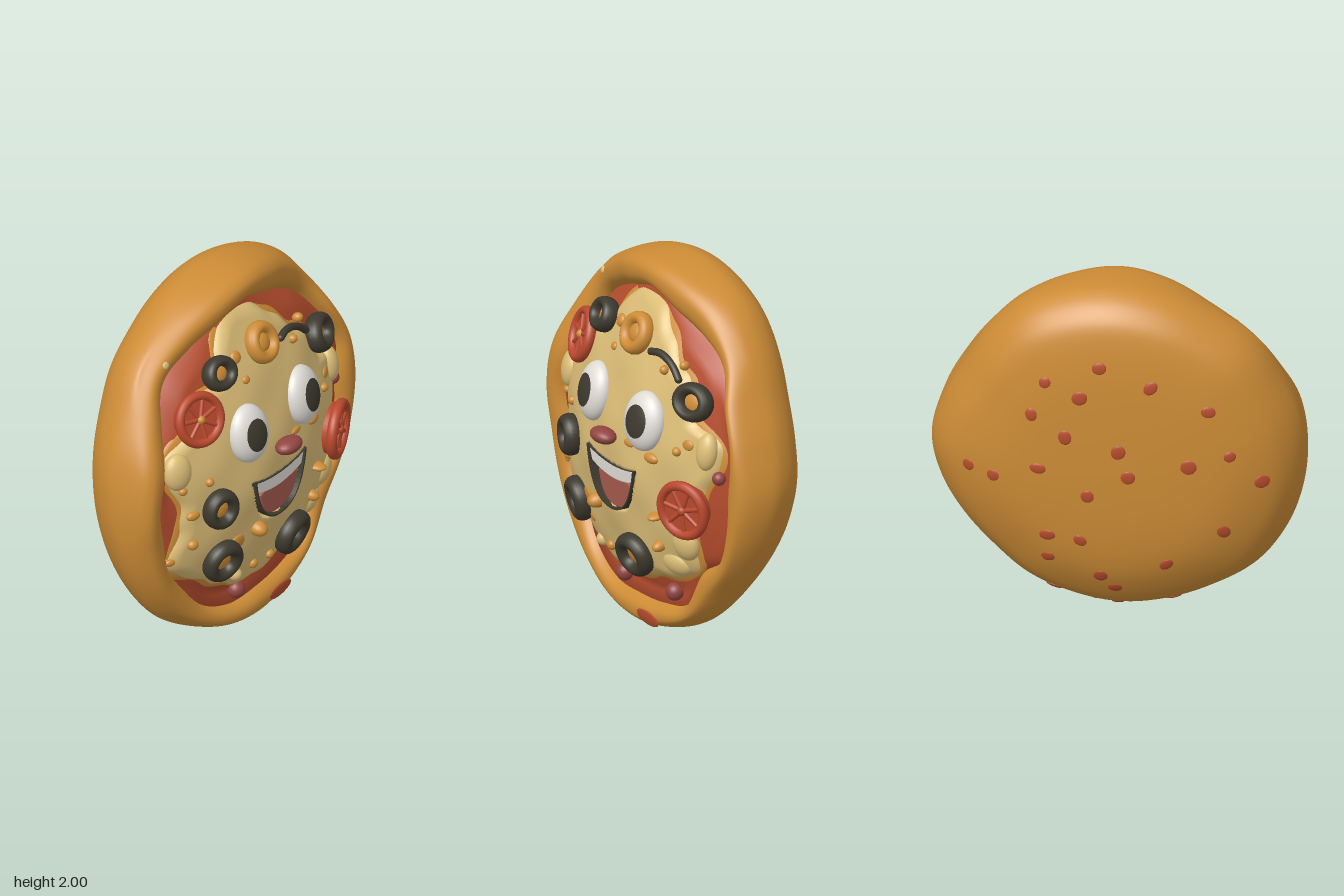
import * as THREE from 'three';

const mat = (name, color) => Object.assign(new THREE.MeshStandardMaterial({ color }), { name });
const M = {
  crust: mat('crust', 0xcd8c36), cheese: mat('cheese', 0xdcbd77), sauce: mat('sauce', 0xb44c2d),
  tomato: mat('tomato', 0xb9482d), olive: mat('olive', 0x3d392e), white: mat('white', 0xdfdbd5),
  tongue: mat('tongue', 0xa4584c), maroon: mat('maroon', 0x914540),
};

// Values every 15 degrees, counter-clockwise from +x, joined by a closed smooth curve
function around(values) {
  const n = values.length;
  return (a) => {
    const t = (((a / (2 * Math.PI)) % 1) + 1) % 1 * n, i = Math.floor(t), f = t - i;
    const [p, q, r, s] = [-1, 0, 1, 2].map((k) => values[(i + k + n) % n]);
    return q + 0.5 * f * (r - p + f * (2 * p - 5 * q + 4 * r - s + f * (3 * (q - r) + s - p)));
  };
}
const outer = around([.965, .935, .92, .955, .995, 1, 1, .99, .98, .99, .965, .965,
  .965, .97, .985, 1, .99, .995, 1, .985, .97, .94, .94, .955]);
const inner = around([.78, .83, .82, .82, .79, .79, .83, .8, .8, .82, .77, .76,
  .79, .775, .81, .82, .86, .86, .83, .84, .86, .76, .82, .8]);
const cheeseEdge = around([.67, .75, .62, .66, .66, .73, .81, .79, .64, .68, .68, .77,
  .68, .69, .82, .76, .74, .75, .73, .69, .72, .76, .66, .64]);
const rimZ = around([.14, .13, .1, .03, .04, .08, .1, .08, .03, .005, .07, .14,
  .15, .14, .14, .15, .17, .19, .2, .19, .17, .15, .14, .14]);

// Domed topping surface, y measured from the pizza centre
const dome = (x, y) => 0.06 + 0.23 * (1 - (x * x + y * y) / 0.72) - 0.06 * y;

// Surface of radial profiles [r, z], outside to centre on the front
function loft(n, profile) {
  const pos = [], idx = [];
  let m = 0;
  for (let i = 0; i < n; i++) {
    const a = (i / n) * Math.PI * 2, pts = profile(a);
    m = pts.length;
    for (const [r, z] of pts) pos.push(r * Math.cos(a), 1 + r * Math.sin(a), z);
    const k = (i + 1) % n;
    for (let j = 0; j < m - 1; j++) {
      const p = i * m + j, q = k * m + j;
      idx.push(p, q, q + 1, p, q + 1, p + 1);
    }
  }
  const g = new THREE.BufferGeometry();
  g.setAttribute('position', new THREE.Float32BufferAttribute(pos, 3));
  g.setIndex(idx);
  g.computeVertexNormals();
  return g;
}

// Crust section from back centre, round the side, over the rim to the sauce
function crustProfile(a, steps = 60) {
  const R = outer(a), I = inner(a), w = R - I, z = rimZ(a), s = Math.sin(a);
  const back = [[0, -.42, 0], [.35, -.408, -.01], [.62, -.375, -.03], [.83, -.3, -.07],
    [.93, -.215, -.09], [.985, -.12, -.1], [1, -.04, -.09]];
  const pts = back.map(([f, z0, dz]) => new THREE.Vector2(f * R, z0 + dz * s));
  pts.push(new THREE.Vector2(R - .08 * w, z - .07), new THREE.Vector2(R - .28 * w, z - .012),
    new THREE.Vector2(R - .55 * w, z), new THREE.Vector2(I + .2 * w, z - .015),
    new THREE.Vector2(I, z - .06), new THREE.Vector2(I - .03, z - .16));
  return new THREE.SplineCurve(pts).getPoints(steps).map((p) => [p.x, p.y]);
}

function sauceProfile(a) {
  const I = inner(a), z = rimZ(a), pts = [[I + .03, z - .1], [I, z - .05]];
  for (let r = I - .05, j = 0; j < 8; j++, r -= .045) pts.push([r, dome(r * Math.cos(a), r * Math.sin(a)) - .02]);
  return pts;
}

// Cheese layer with a rounded lip, gentle lumps and a hollow for the mouth
function cheeseProfile(a) {
  const R = cheeseEdge(a) + .008 * Math.sin(23 * a), pts = [];
  for (let j = 0; j <= 70; j++) {
    const r = R * (1 - Math.pow(j / 70, 1.3)), x = r * Math.cos(a), y = r * Math.sin(a);
    const t = Math.min(1, (R - r) / .07), mx = x + .015;
    const f = Math.min(-.08 + .6 * mx * mx - y, y + .325 - 100 * mx ** 4);
    const lumps = .006 * Math.sin(13 * x + 2) * Math.sin(15 * y) * t;
    pts.push([r, dome(x, y) - .035 + .06 * Math.sqrt(1 - (1 - t) ** 2) + lumps
      - .1 * THREE.MathUtils.smoothstep(f, 0, .025)]);
  }
  return pts;
}

export function createModel() {
  const root = new THREE.Group();
  const add = (name, geo, material, parent = root) => {
    const m = new THREE.Mesh(geo, material);
    m.name = name;
    parent.add(m);
    return m;
  };
  const Z = new THREE.Vector3(0, 0, 1);
  // Stand an object on the cheese, facing along the surface normal
  const place = (o, x, y, lift = 0) => {
    o.position.set(x, y, dome(x, y - 1) + .025 + lift);
    o.quaternion.setFromUnitVectors(Z, new THREE.Vector3(.64 * x, .64 * (y - 1) + .06, 1).normalize());
    return o;
  };
  const group = (name) => {
    const g = new THREE.Group();
    g.name = name;
    root.add(g);
    return g;
  };
  const ball = new THREE.SphereGeometry(1, 24, 16);
  const blob = (name, material, x, y, sx, sy, sz, lift = 0) =>
    place(add(name, ball, material), x, y, lift).scale.set(sx, sy, sz);

  // Base layers
  add('crust', loft(180, crustProfile), M.crust);
  add('sauce', loft(180, sauceProfile), M.sauce);
  add('cheese', loft(180, cheeseProfile), M.cheese);
  add('brownedCheeseEdge', loft(180, (a) => {
    const R = cheeseEdge(a) + .018 + .01 * Math.sin(17 * a);
    return [[R, -.03], [R - .008, -.01], [R - .06, -.01]].map(([r, d]) =>
      [r, dome(r * Math.cos(a), r * Math.sin(a)) + d]);
  }), M.crust);

  // Eyes with pupils as caps on the eyeballs
  const cap = new THREE.SphereGeometry(1.012, 32, 10, 0, Math.PI * 2, 0, .59).rotateX(Math.PI / 2);
  for (const [x, w] of [[-.235, .128], [.24, .135]]) {
    const eye = place(group('eye'), x, 1.232);
    eye.scale.set(w, .158, .08);
    add('eyeball', new THREE.SphereGeometry(1, 36, 24), M.white, eye);
    add('pupil', cap, M.olive, eye);
  }
  blob('nose', M.maroon, -.01, 1.085, .085, .042, .062, .055);

  // Open mouth: lip frame, dark inside, teeth and tongue
  const mouth = (k, S = THREE.Shape) => {
    const X = (x) => -.015 + k * x, Y = (y) => .83 + k * (y - .83), s = new S();
    s.moveTo(X(-.225), Y(.95));
    s.bezierCurveTo(X(-.19), Y(.72), X(-.1), Y(.67), X(0), Y(.67));
    s.bezierCurveTo(X(.1), Y(.67), X(.19), Y(.72), X(.225), Y(.95));
    s.quadraticCurveTo(X(0), Y(.89), X(-.225), Y(.95));
    return s;
  };
  const slab = (name, shape, material, z, depth, bevel = 0) => {
    add(name, new THREE.ExtrudeGeometry(shape, { depth, curveSegments: 16, bevelEnabled: bevel > 0,
      bevelSize: bevel, bevelThickness: bevel, bevelSegments: 3 }), material).position.z = z;
  };
  const lip = mouth(1);
  lip.holes.push(mouth(.95, THREE.Path));
  slab('lip', lip, M.olive, .21, .11);
  slab('mouthInside', mouth(.97), M.olive, .255, .008);
  const teeth = new THREE.Shape();
  teeth.moveTo(-.22, .935);
  teeth.lineTo(-.195, .875);
  teeth.quadraticCurveTo(-.015, .815, .17, .875);
  teeth.lineTo(.19, .935);
  teeth.quadraticCurveTo(-.015, .89, -.22, .935);
  slab('teeth', teeth, M.white, .265, .042, .006);
  const tongue = new THREE.Shape();
  tongue.moveTo(-.155, .825);
  tongue.bezierCurveTo(-.13, .72, -.08, .688, -.015, .688);
  tongue.bezierCurveTo(.07, .688, .13, .72, .16, .825);
  tongue.quadraticCurveTo(.07, .86, -.01, .83);
  tongue.quadraticCurveTo(-.09, .86, -.155, .825);
  slab('tongue', tongue, M.tongue, .262, .024, .01);

  // Olive rings with a browned centre
  const ringGeo = new THREE.TorusGeometry(.075, .033, 14, 36);
  for (const [x, y, sx, sy] of [[-.33, 1.595, .95, .86], [.54, 1.42, 1.13, .95], [-.48, .9, .96, 1.03],
    [-.43, .56, 1.1, 1.12], [.15, .46, 1.18, 1.12]]) {
    const o = place(group('oliveRing'), x, y, .025);
    o.scale.set(sx, sy, 1.5);
    add('olive', ringGeo, M.olive, o);
    add('oliveCentre', new THREE.SphereGeometry(.06, 20, 10).scale(1, 1, .3), M.crust, o).position.z = -.008;
  }

  // Olive strip
  const strip = [[.17, 1.575], [.225, 1.585], [.29, 1.575], [.355, 1.545], [.41, 1.5]]
    .map(([x, y]) => new THREE.Vector3(x, y, dome(x, y - 1) + .045));
  add('oliveStrip', new THREE.TubeGeometry(new THREE.CatmullRomCurve3(strip), 30, .02, 10), M.olive);
  for (const p of [strip[0], strip[4]]) {
    const end = add('oliveStripEnd', ball, M.olive);
    end.position.copy(p);
    end.scale.setScalar(.02);
  }

  // Onion ring with a small peak inside
  const onion = place(group('onionRing'), .015, 1.62, .02);
  add('onion', new THREE.TorusGeometry(.076, .033, 14, 36).scale(1, 1.05, 1.4), M.crust, onion);
  add('onionPeak', new THREE.SphereGeometry(.055, 20, 12).scale(1, 1, .55), M.crust, onion);

  // Tomato slices: disc, rim and spokes
  for (const [x, y, lift, size, hub] of [[-.52, 1.415, .01, 1, M.crust], [.58, .855, .035, 1.08, M.tomato]]) {
    const t = place(group('tomatoSlice'), x, y, lift);
    t.scale.set(size, size, 1);
    add('tomatoDisc', new THREE.CylinderGeometry(.135, .12, .07, 36).rotateX(Math.PI / 2), M.tomato, t).position.z = -.02;
    add('tomatoRim', new THREE.TorusGeometry(.125, .024, 10, 40).scale(1, 1, 1.2), M.tomato, t).position.z = .01;
    add('tomatoHub', new THREE.SphereGeometry(.024, 14, 10), hub, t).position.z = .018;
    for (let i = 0; i < 7; i++) {
      const a = (i / 7) * Math.PI * 2 + .3;
      const spoke = add('tomatoSpoke', new THREE.CapsuleGeometry(.012, .085, 4, 8), M.tomato, t);
      spoke.position.set(.065 * Math.cos(a), .065 * Math.sin(a), .015);
      spoke.rotation.z = a - Math.PI / 2;
    }
  }

  // Cheese lumps
  for (const [x, y, sx, sy, lift] of [[-.68, 1.17, .08, .1, -.01], [.65, 1.18, .06, .1, -.01],
    [.52, .63, .08, .09, -.015], [-.26, .39, .04, .04, -.02], [.42, .49, .1, .07, -.03]])
    blob('cheeseLump', M.cheese, x, y, sx, sy, .05, lift);

  // Browned crumbs: x, y, half width, half height, half depth
  for (const [x, y, sx, sy, sz] of [[-.67, 1.06, .025, .022, .02], [-.18, 1.615, .035, .035, .02],
    [-.16, 1.49, .025, .022, .015], [.285, 1.51, .025, .025, .03], [.4, 1.565, .025, .025, .03],
    [.485, 1.14, .027, .025, .03], [.545, 1.19, .035, .028, .012], [.32, 1.055, .05, .028, .025],
    [-.52, 1.065, .025, .025, .03], [-.62, .9, .04, .025, .02], [-.615, .725, .032, .028, .03],
    [-.18, .65, .045, .04, .06], [.35, .575, .032, .03, .05], [.36, .75, .04, .02, .06],
    [-.32, .62, .05, .045, .012], [-.14, .4, .028, .028, .025], [0, .39, .028, .025, .025],
    [-.3, .5, .035, .025, .012], [-.73, .65, .03, .02, .015], [.14, 1.08, .04, .018, .012]])
    blob('crumb', M.crust, x, y, sx, sy, sz);

  // Pepper balls half sunk in the sauce
  for (const [x, y, r] of [[.72, 1.05, .036], [.32, .285, .048], [-.16, .225, .048]])
    blob('pepperBall', M.maroon, x, y, r, r, r, -.025);

  // Flat spots lying on the crust, on its back or front
  const spot = (name, material, x, y, w, h, front) => {
    const a = Math.atan2(y, x), p = crustProfile(a, 600), r = Math.min(Math.hypot(x, y), .98 * outer(a));
    const j = front ? p.findLastIndex((q) => q[0] >= r) : p.findIndex((q) => q[0] >= r);
    const dr = p[j + 1][0] - p[j - 1][0], dz = p[j + 1][1] - p[j - 1][1];
    const m = add(name, ball, material);
    m.position.set(r * Math.cos(a), 1 + r * Math.sin(a), p[j][1]);
    m.quaternion.setFromUnitVectors(Z, new THREE.Vector3(dz * Math.cos(a), dz * Math.sin(a), -dr).normalize());
    m.scale.set(w, h, .009);
  };
  [[.35, .535], [.07, .64], [.17, .46], [-.195, .54], [.42, .34], [.245, .22], [-.49, .405],
    [-.03, .15], [.385, .02], [.62, -.06], [-.08, 0], [-.39, .075], [-.6, .135], [.13, -.13],
    [-.76, -.04], [.34, -.4], [.17, -.415], [-.565, -.34], [.34, -.555], [.07, -.655], [-.27, -.555],
    [.75, -.03], [0, -.75], [.33, -.86], [0, -.92], [.12, -.97], [-.28, -.92]]
    .forEach(([x, y], i) => spot('backSpot', M.sauce, x, y, .032 + .005 * (i % 3), .03 + .004 * (i % 4), false));
  spot('sauceSmear', M.sauce, .15, -.91, .1, .04, true);
  spot('cheeseFleck', M.cheese, -.59, .715, .02, .02, true);

  return root;
}
